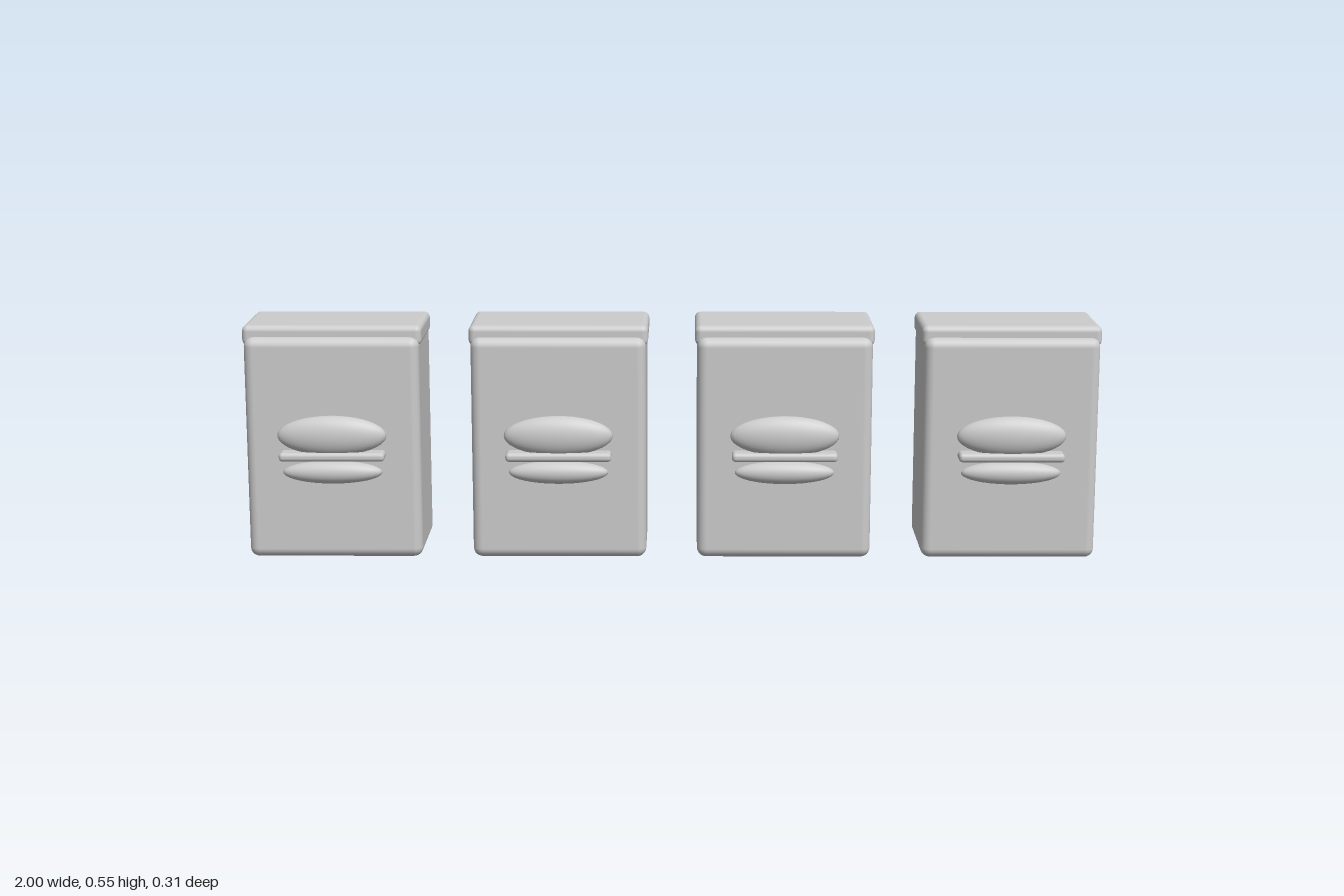
import * as THREE from 'three';
import { RoundedBoxGeometry } from 'three/addons/geometries/RoundedBoxGeometry.js';

const grey = new THREE.MeshStandardMaterial({ color: 0xcccccc });
grey.name = 'light grey';

// Shared part geometries
const bodyGeo = new RoundedBoxGeometry(0.408, 0.525, 0.262, 3, 0.022);
const lidGeo = new RoundedBoxGeometry(0.418, 0.048, 0.223, 3, 0.014);
const fillingGeo = new RoundedBoxGeometry(0.246, 0.021, 0.052, 3, 0.009);
const bunGeo = new THREE.SphereGeometry(1, 32, 20);

function add(group, name, geometry, y, z, scale = [1, 1, 1]) {
  const mesh = new THREE.Mesh(geometry, grey);
  mesh.name = name;
  mesh.position.set(0, y, z);
  mesh.scale.set(...scale);
  group.add(mesh);
}

// One carton with its lid and the burger relief on the front
function createCarton() {
  const carton = new THREE.Group();
  add(carton, 'cartonBody', bodyGeo, 0.2645, -0.021);
  add(carton, 'cartonLid', lidGeo, 0.529, -0.021);

  const burger = new THREE.Group();
  burger.name = 'burgerRelief';
  add(burger, 'topBun', bunGeo, 0.3, 0.124, [0.127, 0.047, 0.029]);
  add(burger, 'burgerFilling', fillingGeo, 0.252, 0.122);
  add(burger, 'bottomBun', bunGeo, 0.213, 0.124, [0.116, 0.027, 0.026]);
  carton.add(burger);
  return carton;
}

export function createModel() {
  const model = new THREE.Group();
  model.name = 'cartonRow';
  // Four cartons in an even row
  for (let i = 0; i < 4; i++) {
    const carton = createCarton();
    carton.name = `carton${i + 1}`;
    carton.position.x = (i - 1.5) * 0.5273;
    model.add(carton);
  }
  return model;
}
